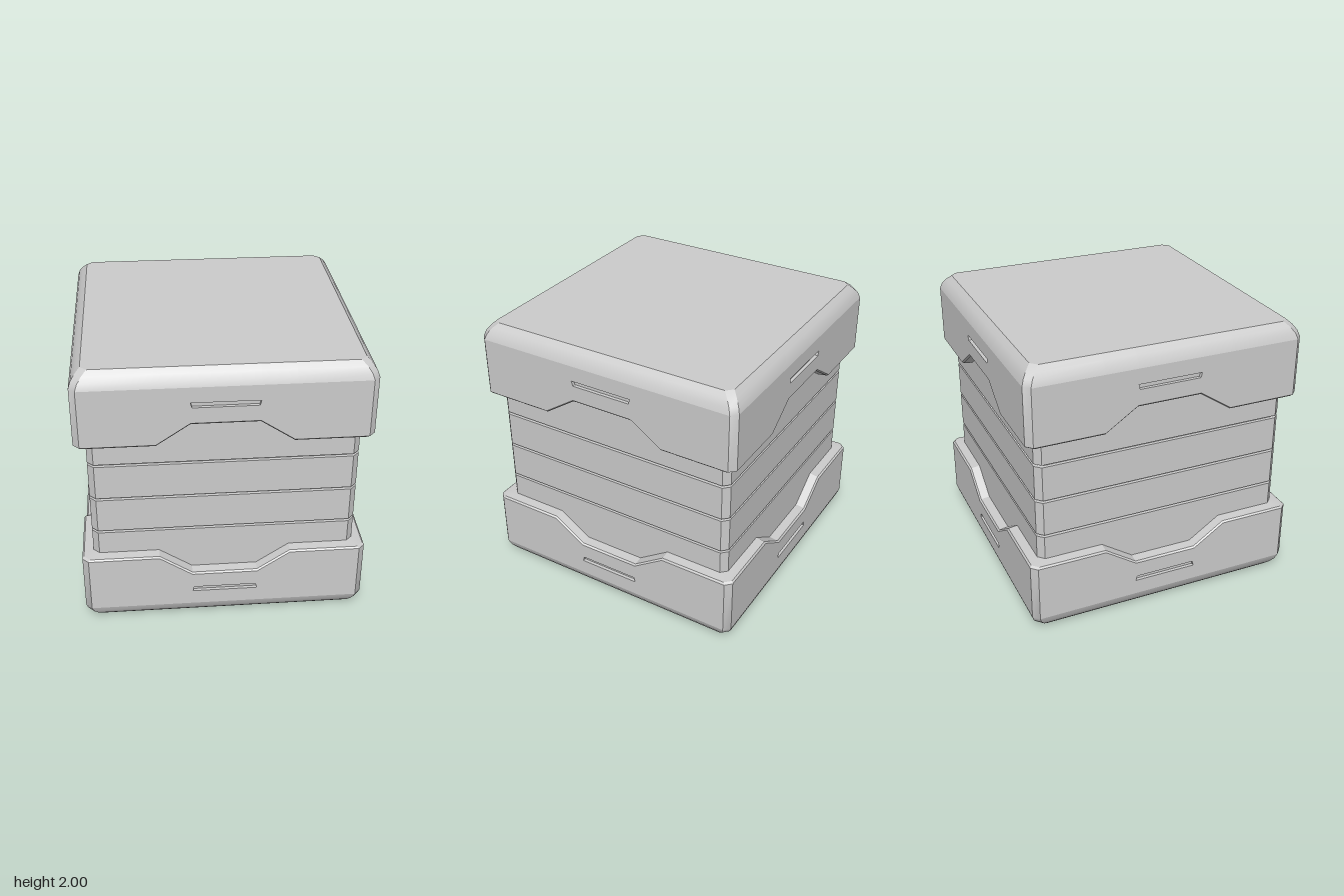
import * as THREE from 'three';
import { toCreasedNormals } from 'three/addons/utils/BufferGeometryUtils.js';

const CORNER = 0.957; // where the corner chamfer starts on a side of half width 1
const STOPS = [-1, -0.46, -0.23, 0.23, 0.46, 1];
const DIP = 0.155; // depth of the notch in the middle of a cap's rim

const material = new THREE.MeshStandardMaterial({ color: 0xcccccc });

function mesh(name, geometry) {
  const m = new THREE.Mesh(geometry, material);
  m.name = name;
  return m;
}

// Skin over chamfered square rings, listed bottom to top as [halfWidth, y, notched].
// keep(row, column) can leave out quads.
function loft(rings, keep = () => true) {
  const points = [];
  for (const [r, y, notched] of rings) {
    const end = Math.max(0, CORNER - (1 - r));
    for (let side = 0; side < 4; side++) {
      for (const stop of STOPS) {
        const u = THREE.MathUtils.clamp(stop, -end, end);
        const dip = notched && Math.abs(stop) < 0.3 ? DIP : 0;
        points.push(new THREE.Vector3(u, y - dip, r)
          .applyAxisAngle(new THREE.Vector3(0, 1, 0), side * Math.PI / 2));
      }
    }
  }
  const n = STOPS.length * 4;
  const index = [];
  for (let j = 0; j < rings.length - 1; j++) {
    for (let i = 0; i < n; i++) {
      if (!keep(j, i)) continue;
      const k = (i + 1) % n;
      const a = j * n + i, b = j * n + k, c = b + n, d = a + n;
      index.push(a, b, c, a, c, d);
    }
  }
  const g = new THREE.BufferGeometry().setFromPoints(points);
  g.setIndex(index);
  return toCreasedNormals(g, 0.5);
}

// Flat side of a cap with its notched rim and a slot cut through
function wallGeometry(bottom, rim) {
  const shape = new THREE.Shape([
    [-CORNER, bottom], [CORNER, bottom], [CORNER, rim], [0.46, rim], [0.23, rim - DIP],
    [-0.23, rim - DIP], [-0.46, rim], [-CORNER, rim],
  ].map(([x, y]) => new THREE.Vector2(x, y)));
  shape.holes.push(new THREE.Path([
    [-0.23, 0.227], [-0.22, 0.263], [0.22, 0.263], [0.23, 0.227],
  ].map(([x, y]) => new THREE.Vector2(x, y))));
  return new THREE.ExtrudeGeometry(shape, { depth: 0.025, bevelEnabled: false })
    .translate(0, 0, 0.975);
}

function createCap(name) {
  const cap = new THREE.Group();
  cap.name = name;
  const bottom = 0.115, rim = 0.532;

  // End plate, rounded edge, corner strips and bevelled rim
  const rings = [
    [0, 0], [0.922, 0], [0.957, 0.033], [0.985, 0.072], [1, bottom],
    [1, rim, true], [0.988, rim + 0.012, true], [0.91, rim + 0.022, true],
  ];
  const isCorner = (i) => i % STOPS.length === STOPS.length - 1;
  cap.add(mesh('capShell', loft(rings, (j, i) => j !== 4 || isCorner(i))));

  // Four slotted walls, each with a floor behind its slot
  const wall = wallGeometry(bottom, rim);
  const floor = new THREE.PlaneGeometry(0.5, 0.08).translate(0, 0.245, 0.976);
  for (let side = 0; side < 4; side++) {
    const panel = new THREE.Group();
    panel.name = 'sidePanel';
    panel.add(mesh('slottedWall', wall), mesh('slotFloor', floor));
    panel.rotation.y = side * Math.PI / 2;
    cap.add(panel);
  }
  return cap;
}

// Core box with three horizontal grooves
function createCore() {
  const outer = 0.922, inner = 0.897, half = 0.009;
  const rings = [[outer, 0.3]];
  for (const y of [0.733, 1.004, 1.275]) {
    rings.push([outer, y - half], [inner, y - half], [inner, y + half], [outer, y + half]);
  }
  rings.push([outer, 1.7]);
  return mesh('groovedCore', loft(rings));
}

export function createModel() {
  const model = new THREE.Group();
  model.name = 'crate';
  const topCap = createCap('topCap');
  topCap.rotation.x = Math.PI;
  topCap.position.y = 2;
  model.add(createCore(), createCap('bottomCap'), topCap);
  return model;
}
